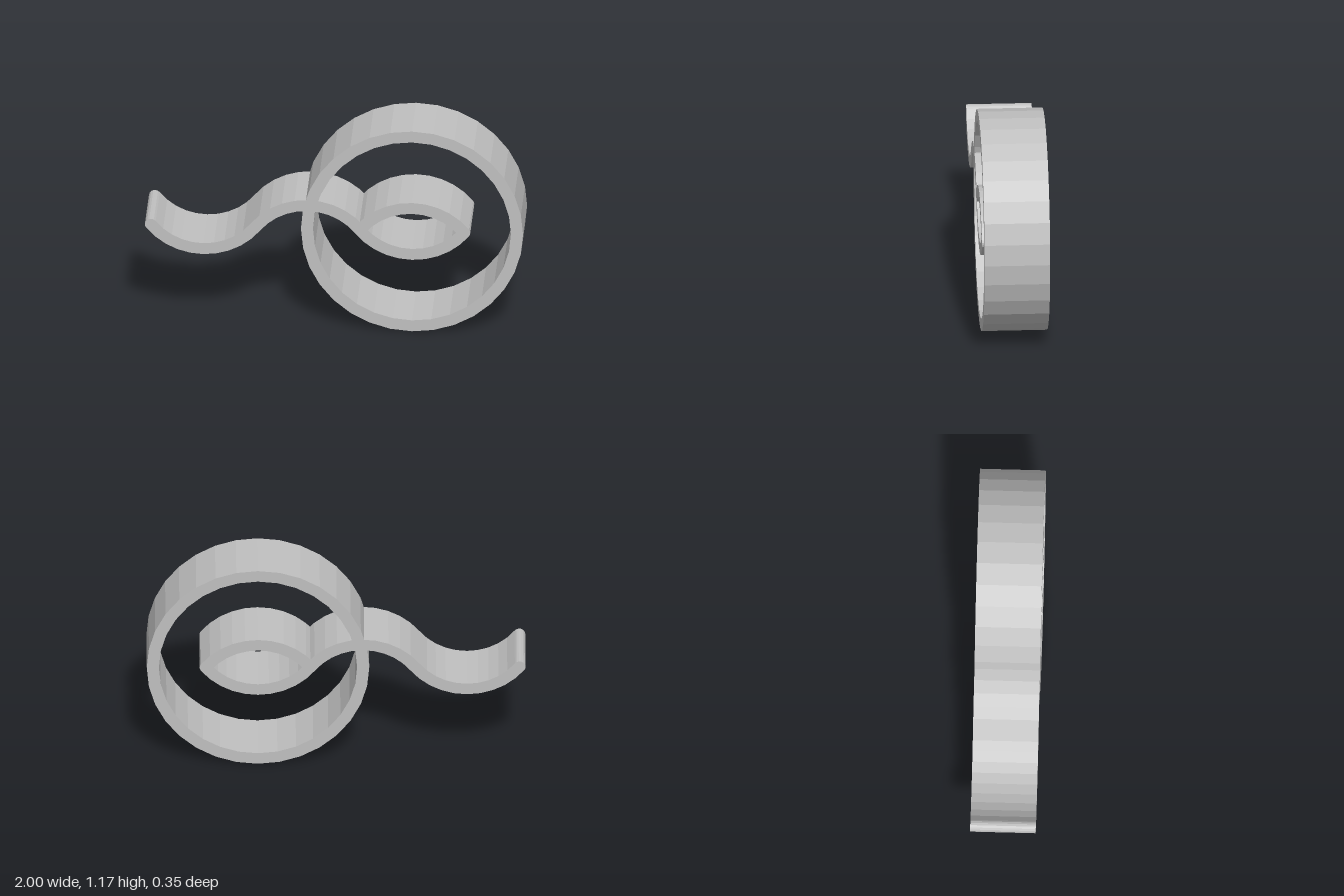
import * as THREE from 'three';

const DEPTH = 0.346;      // thickness along z
const HALF = 0.032;       // half the width of the bent strip
const MID_Y = 0.587;      // height of the ring's centre
const RING_X = 0.413;     // ring centre
const HALF_CHORD = 0.276; // half the span of one bend
const RISE = 0.135;       // height of one bend
const R = (HALF_CHORD ** 2 + RISE ** 2) / (2 * RISE);
const SWEEP = Math.asin(HALF_CHORD / R);

// Centreline of one bend: dir = 1 is a crest, dir = -1 a trough
function bend(cx, dir, steps = 10) {
  const pts = [];
  for (let i = 0; i <= steps; i++) {
    const s = SWEEP * (2 * i / steps - 1);
    pts.push({
      x: cx + R * Math.sin(s),
      y: MID_Y + dir * (RISE - R + R * Math.cos(s)),
      tangent: -dir * s,
    });
  }
  return pts;
}

// Constant-width strip with round ends along a centreline
function stripShape(path) {
  const out = [];
  const add = (p, a) => out.push(new THREE.Vector2(p.x + HALF * Math.cos(a), p.y + HALF * Math.sin(a)));
  const CAP = 8;
  const cap = (p, from) => {
    for (let i = 1; i < CAP; i++) add(p, from + Math.PI * i / CAP);
  };
  const first = path[0], last = path[path.length - 1];
  path.forEach((p) => add(p, p.tangent - Math.PI / 2));
  cap(last, last.tangent - Math.PI / 2);
  [...path].reverse().forEach((p) => add(p, p.tangent + Math.PI / 2));
  cap(first, first.tangent + Math.PI / 2);
  return new THREE.Shape(out);
}

// Regular polygon outline for the faceted ring
function circlePoints(radius, sides = 32) {
  return Array.from({ length: sides }, (_, i) => {
    const a = i / sides * Math.PI * 2;
    return new THREE.Vector2(RING_X + radius * Math.cos(a), MID_Y + radius * Math.sin(a));
  });
}

export function createModel() {
  const group = new THREE.Group();
  const grey = new THREE.MeshStandardMaterial({ color: 0xc0c0c0 });
  grey.name = 'light grey';

  const addPart = (name, shape) => {
    const geometry = new THREE.ExtrudeGeometry(shape, { depth: DEPTH, bevelEnabled: false });
    geometry.translate(0, 0, -DEPTH / 2);
    const mesh = new THREE.Mesh(geometry, grey);
    mesh.name = name;
    group.add(mesh);
  };

  // Outer ring
  const ring = new THREE.Shape(circlePoints(0.587));
  ring.holes.push(new THREE.Path(circlePoints(0.523)));
  addPart('ring', ring);

  // Wave running from the free tail to the far corner of the lens
  const span = 2 * HALF_CHORD;
  addPart('wave', stripShape([
    ...bend(RING_X - 2 * span, -1),
    ...bend(RING_X - span, 1).slice(1),
    ...bend(RING_X, -1).slice(1),
  ]));

  // Upper arch closing the lens
  addPart('lensArch', stripShape(bend(RING_X, 1)));

  return group;
}
